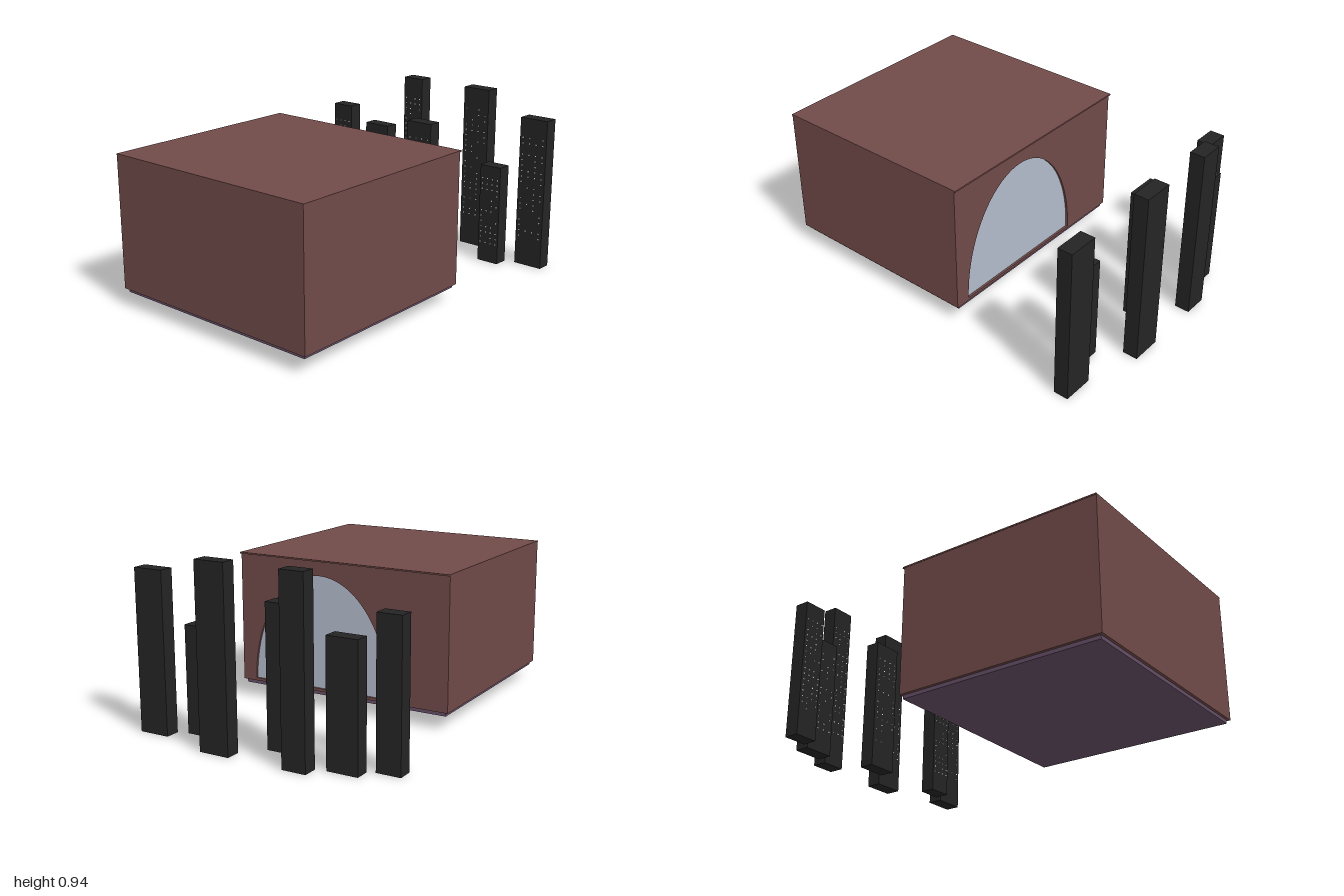
import * as THREE from 'three';
import { mergeGeometries } from 'three/addons/utils/BufferGeometryUtils.js';

export function createModel() {
  const model = new THREE.Group();
  model.name = 'roomWithSkyline';

  const mat = (name, color, extra = {}) => {
    const m = new THREE.MeshStandardMaterial({ color, ...extra });
    m.name = name;
    return m;
  };
  const wallMat = mat('wallBrown', 0x704a48);
  const floorMat = mat('floorPurple', 0x644e66);
  const glassMat = mat('paneGrey', 0xb3bbcb);
  const towerMat = mat('towerBlack', 0x242424);
  const lightMat = mat('windowLight', 0xf4f0e4);

  const add = (parent, name, geometry, material) => {
    const mesh = new THREE.Mesh(geometry, material);
    mesh.name = name;
    parent.add(mesh);
    return mesh;
  };
  // Box given by its limits on each axis
  const box = (parent, name, [x0, x1], [y0, y1], [z0, z1], material) => {
    const mesh = add(parent, name, new THREE.BoxGeometry(x1 - x0, y1 - y0, z1 - z0), material);
    mesh.position.set((x0 + x1) / 2, (y0 + y1) / 2, (z0 + z1) / 2);
    return mesh;
  };

  // Room shell
  const room = new THREE.Group();
  room.name = 'room';
  model.add(room);
  const L = -0.62, R = 0.625, base = 0.095, top = 0.797, back = -0.145, t = 0.02;
  box(room, 'floor', [-0.605, 0.608], [0.075, base + 0.003], [-0.135, 0.985], floorMat);
  box(room, 'ceiling', [-0.622, 0.628], [top, 0.805], [-0.155, 1], wallMat);
  box(room, 'frontWall', [L, R], [base, top], [1 - t, 1], wallMat);
  box(room, 'rightWall', [L, L + t], [base, top], [back + t, 1 - t], wallMat);
  box(room, 'leftWall', [R - t, R], [base, top], [back + t, 1 - t], wallMat);

  // Back wall with an arched opening
  const cx = 0.13, sill = 0.11, halfWidth = 0.412, rise = 0.61;
  const arch = (Type) => {
    const p = new Type();
    p.moveTo(cx + halfWidth, sill);
    p.absellipse(cx, sill, halfWidth, rise, 0, Math.PI, false);
    p.closePath();
    return p;
  };
  const wall = new THREE.Shape();
  wall.moveTo(L, base);
  wall.lineTo(R, base);
  wall.lineTo(R, top);
  wall.lineTo(L, top);
  wall.closePath();
  wall.holes.push(arch(THREE.Path));
  const extrude = (shape, depth) =>
    new THREE.ExtrudeGeometry(shape, { depth, bevelEnabled: false, curveSegments: 40 });
  add(room, 'backWall', extrude(wall, t), wallMat).position.z = back;
  add(room, 'archPane', extrude(arch(THREE.Shape), 0.006), glassMat).position.z = back + 0.012;

  // Towers: centre x, width, height, centre z
  const towers = [
    [-0.65, 0.13, 0.75, -0.775],
    [-0.463, 0.166, 0.64, -0.87],
    [-0.26, 0.13, 0.935, -0.96],
    [-0.073, 0.166, 0.73, -0.775],
    [0.19, 0.166, 0.935, -0.96],
    [0.424, 0.13, 0.56, -0.775],
    [0.628, 0.166, 0.84, -0.87],
  ];
  let seed = 7;
  const random = () => (seed = (seed * 16807) % 2147483647) / 2147483647;
  for (const [x, w, h, z] of towers) {
    const tower = new THREE.Group();
    tower.name = 'tower';
    tower.position.set(x, 0, z);
    model.add(tower);
    box(tower, 'towerBody', [-w / 2, w / 2], [0, h], [-0.04, 0.04], towerMat);

    // Lit windows, some left dark
    const lights = [];
    const rows = Math.round((h * 0.67) / 0.032);
    for (let r = 0; r <= rows; r++) {
      for (let c = 0; c < 4; c++) {
        if (random() < 0.35) continue;
        lights.push(new THREE.BoxGeometry(0.006, 0.006, 0.004)
          .translate((c - 1.5) * w * 0.25, h * (0.2 + (0.67 * r) / rows), 0.041));
      }
    }
    add(tower, 'litWindows', mergeGeometries(lights), lightMat);
  }
  return model;
}
